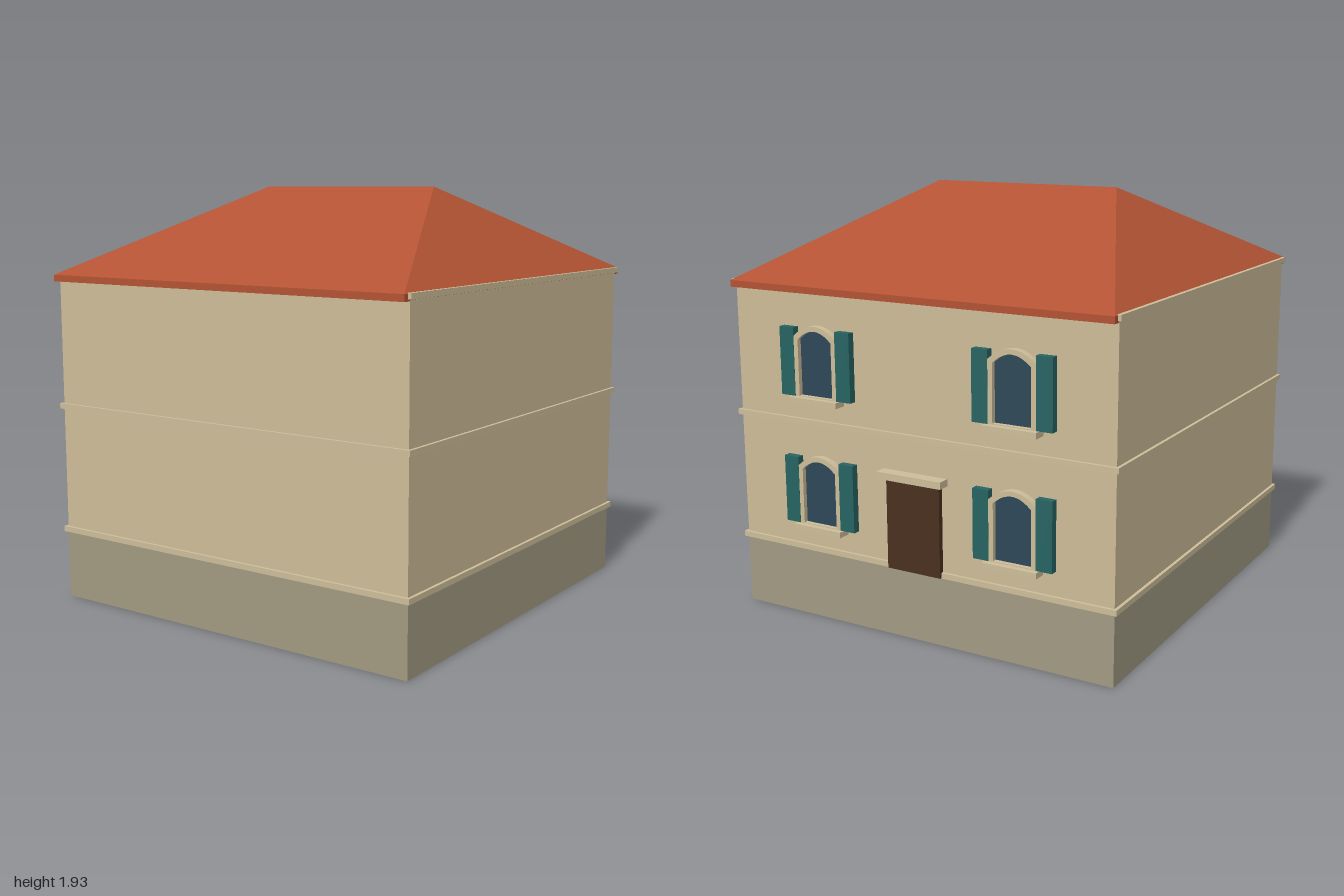
import * as THREE from 'three';
import { ConvexGeometry } from 'three/addons/geometries/ConvexGeometry.js';

const flat = (name, color) => {
  const m = new THREE.MeshStandardMaterial({ color });
  m.name = name;
  return m;
};

export function createModel() {
  const house = new THREE.Group();
  house.name = 'house';

  const plaster = flat('plaster', 0xcdbc98);
  const stone = flat('plinthStone', 0xa19a82);
  const trim = flat('trimStone', 0xcdbe9a);
  const tile = flat('roofTile', 0xb35333);
  const shutterPaint = flat('shutterPaint', 0x276462);
  const glass = flat('glass', 0x2e4858);
  const wood = flat('doorWood', 0x4a3020);

  const midZ = 0.012; // centre of the walls
  const wallZ = midZ - 0.949; // plane of the back wall

  // box given by its limits on each axis
  function box(parent, name, mat, [x0, x1], [y0, y1], [z0, z1]) {
    const mesh = new THREE.Mesh(new THREE.BoxGeometry(x1 - x0, y1 - y0, z1 - z0), mat);
    mesh.position.set((x0 + x1) / 2, (y0 + y1) / 2, (z0 + z1) / 2);
    mesh.name = name;
    parent.add(mesh);
    return mesh;
  }
  const square = (name, mat, half, y0, y1) =>
    box(house, name, mat, [-half, half], [y0, y1], [midZ - half, midZ + half]);

  // plinth, walls and string courses
  square('plinth', stone, 0.949, 0, 0.32);
  square('walls', plaster, 0.949, 0.32, 1.505);
  for (const [name, y] of [['lowerBand', 0.317], ['middleBand', 0.906], ['cornice', 1.508]]) {
    square(name, trim, 0.963, y, y + 0.025);
  }

  // hipped roof with a thin vertical eave
  const points = [];
  for (const sx of [-1, 1]) {
    for (const z of [-0.977, 1]) {
      for (const y of [1.5, 1.53]) points.push(new THREE.Vector3(sx * 0.948, y, z));
    }
    points.push(new THREE.Vector3(sx * 0.475, 1.928, midZ));
  }
  const roof = new THREE.Mesh(new ConvexGeometry(points), tile);
  roof.name = 'roof';
  house.add(roof);

  // outline with a gently arched head, from y = 0 up to the crown
  function arched(Path, half, spring, crown, bottom = 0) {
    const p = new Path();
    p.moveTo(-half, bottom);
    p.lineTo(half, bottom);
    p.lineTo(half, spring);
    p.quadraticCurveTo(0, 2 * crown - spring, -half, spring);
    p.closePath();
    return p;
  }

  // window: y is measured from the top of the sill, z outward from the wall
  function makeWindow() {
    const w = new THREE.Group();
    w.name = 'window';

    const outline = arched(THREE.Shape, 0.112, 0.27, 0.32);
    outline.holes.push(arched(THREE.Path, 0.09, 0.255, 0.298, 0.004));
    const frame = new THREE.Mesh(
      new THREE.ExtrudeGeometry(outline, { depth: 0.033, bevelEnabled: false, curveSegments: 10 }), trim);
    frame.name = 'windowFrame';
    w.add(frame);

    const pane = new THREE.Mesh(new THREE.ShapeGeometry(arched(THREE.Shape, 0.1, 0.262, 0.307), 10), glass);
    pane.position.z = 0.012;
    pane.name = 'windowPane';
    w.add(pane);

    for (const s of [-1, 1]) {
      const leaf = box(w, 'shutter', shutterPaint, [-0.038, 0.038], [0, 0.307], [0, 0.034]);
      leaf.position.x = s * 0.15;
    }
    box(w, 'sill', trim, [-0.128, 0.128], [-0.026, 0], [0, 0.06]);
    return w;
  }

  for (const sillY of [0.449, 1.038]) {
    for (const s of [-1, 1]) {
      const w = makeWindow();
      w.position.set(s * 0.495, sillY, wallZ);
      w.rotation.y = Math.PI;
      house.add(w);
    }
  }

  // door with its lintel
  box(house, 'door', wood, [-0.135, 0.135], [0.319, 0.73], [wallZ - 0.024, wallZ]);
  box(house, 'doorLintel', trim, [-0.163, 0.163], [0.73, 0.762], [wallZ - 0.057, wallZ]);

  return house;
}
